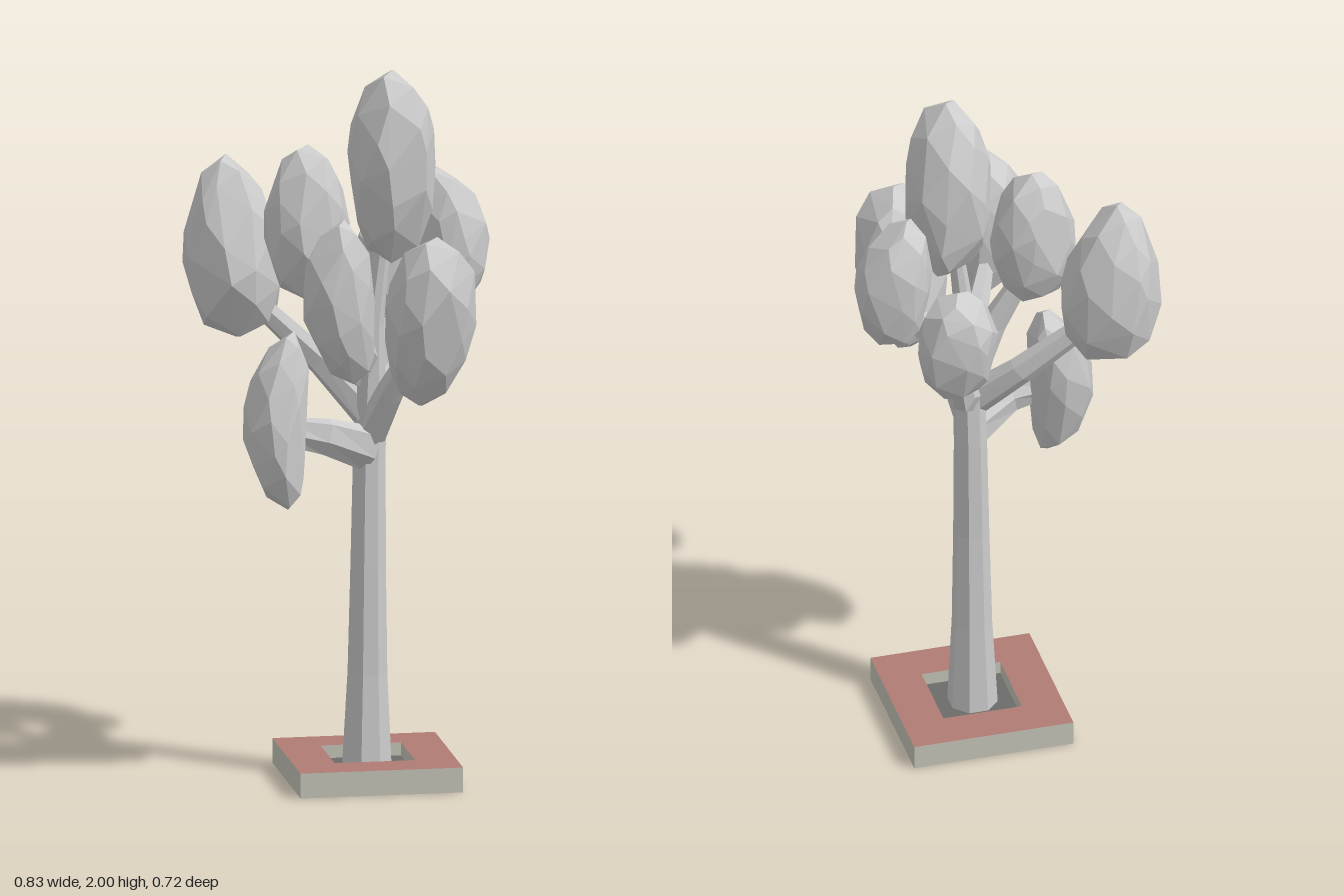
import * as THREE from 'three';
import { ConvexGeometry } from 'three/addons/geometries/ConvexGeometry.js';

const grey = new THREE.MeshStandardMaterial({ color: 0xcccccc, flatShading: true });
const stone = new THREE.MeshStandardMaterial({ color: 0xc6c5b8 });
const brick = new THREE.MeshStandardMaterial({ color: 0xb07c74 });
const earth = new THREE.MeshStandardMaterial({ color: 0x6c6c6a });

// Small seeded random generator
function seeded(seed) {
  let s = seed * 7919 + 17;
  return () => (s = (s * 16807) % 2147483647) / 2147483647;
}

// Faceted tapering limb through stations [x, y, z, radius];
// tall deepens the cross-section in the limb's own vertical plane
function limbGeometry(stations, sides, tall = 1) {
  const centres = stations.map(([x, y, z]) => new THREE.Vector3(x, y, z));
  const last = centres.length - 1;
  const up = new THREE.Vector3(0, 1, 0);
  const heading = centres[last].clone().sub(centres[0]).setY(0).normalize();
  const rings = centres.map((c, i) => {
    const dir = centres[Math.min(i + 1, last)].clone().sub(centres[Math.max(i - 1, 0)]).normalize();
    const q = new THREE.Quaternion().setFromUnitVectors(up, dir);
    return Array.from({ length: sides }, (_, j) => {
      const a = ((j + 0.5) / sides) * Math.PI * 2;
      const v = new THREE.Vector3(Math.cos(a), 0, Math.sin(a));
      v.addScaledVector(heading, v.dot(heading) * (tall - 1));
      return v.multiplyScalar(stations[i][3]).applyQuaternion(q).add(c);
    });
  });
  const pts = [];
  for (let j = 0; j < sides; j++) {
    const k = (j + 1) % sides;
    for (let i = 0; i < last; i++) {
      const [a, b, c, d] = [rings[i][j], rings[i + 1][j], rings[i + 1][k], rings[i][k]];
      pts.push(a, b, d, b, c, d);
    }
    pts.push(centres[0], rings[0][j], rings[0][k]);
    pts.push(centres[last], rings[last][k], rings[last][j]);
  }
  const geo = new THREE.BufferGeometry().setFromPoints(pts);
  geo.computeVertexNormals();
  return geo;
}

// Irregular faceted leaf mass filling the box min..max.
// lean shifts the top sideways, bend pushes the middle sideways (both in x, z);
// a positive taper makes the lower half the wider one.
function leafGeometry(min, max, [leanX, leanZ], [bendX, bendZ], taper, seed) {
  const rnd = seeded(seed);
  const n = 42;
  const points = [];
  for (let i = 0; i < n; i++) {
    const y = 1 - (2 * i) / (n - 1);
    const r = Math.max(0, 1 - y * y) ** 0.46 * (1 - taper * y);
    const a = i * 2.39996 + (rnd() - 0.5) * 0.6;
    const s = 0.95 + rnd() * 0.08;
    points.push(new THREE.Vector3(
      Math.cos(a) * r * s + leanX * y + bendX * (1 - y * y),
      y,
      Math.sin(a) * r * s + leanZ * y + bendZ * (1 - y * y)));
  }
  const box = new THREE.Box3().setFromPoints(points);
  const size = box.getSize(new THREE.Vector3());
  const lo = new THREE.Vector3(...min);
  const span = new THREE.Vector3(...max).sub(lo);
  points.forEach((p) => p.sub(box.min).divide(size).multiply(span).add(lo));
  return new ConvexGeometry(points);
}

function square(Type, cx, cz, half) {
  const s = new Type();
  s.moveTo(cx - half, -cz - half);
  s.lineTo(cx + half, -cz - half);
  s.lineTo(cx + half, -cz + half);
  s.lineTo(cx - half, -cz + half);
  s.closePath();
  return s;
}

export function createModel() {
  const tree = new THREE.Group();
  tree.name = 'tree';
  const add = (name, geometry, material = grey) => {
    const mesh = new THREE.Mesh(geometry, material);
    mesh.name = name;
    tree.add(mesh);
    return mesh;
  };

  // Planter: stone slab, brick-topped frame with a square hole, soil inside
  const cx = 0.068, cz = -0.036;
  add('planterSlab', new THREE.BoxGeometry(0.453, 0.03, 0.453), stone).position.set(cx, 0.015, cz);
  const frame = square(THREE.Shape, cx, cz, 0.2265);
  frame.holes.push(square(THREE.Path, cx, cz, 0.112));
  const frameGeo = new THREE.ExtrudeGeometry(frame, { depth: 0.04, bevelEnabled: false });
  frameGeo.rotateX(-Math.PI / 2);
  add('planterFrame', frameGeo, [brick, stone]).position.y = 0.03;
  add('soil', new THREE.BoxGeometry(0.223, 0.006, 0.223), earth).position.set(cx, 0.031, cz);

  // Trunk with its leader running up into the crown
  add('trunk', limbGeometry([
    [0.064, 0.03, -0.028, 0.07], [0.066, 0.3, -0.03, 0.056], [0.068, 0.6, -0.03, 0.05],
    [0.072, 0.9, -0.036, 0.046], [0.076, 1.08, -0.034, 0.044], [0.08, 1.28, -0.02, 0.03],
    [0.11, 1.55, -0.01, 0.02],
  ], 8));

  // Deep, blade-like branches, each rising from the trunk into a leaf mass
  const branches = {
    lowBranch: [[0.07, 0.93, -0.02, 0.045], [-0.06, 0.98, 0.035, 0.036], [-0.18, 1.0, 0.03, 0.028]],
    rightBackBranch: [[0.07, 1.03, -0.03, 0.036], [-0.05, 1.16, -0.11, 0.028], [-0.24, 1.34, -0.18, 0.02]],
    rightInnerBranch: [[0.07, 1.12, -0.03, 0.032], [0.01, 1.28, -0.04, 0.027], [-0.08, 1.45, -0.06, 0.018]],
    rightFrontBranch: [[0.07, 1.18, -0.03, 0.034], [0.01, 1.27, 0.1, 0.03], [-0.05, 1.34, 0.22, 0.02]],
    leftFrontBranch: [[0.075, 0.98, -0.02, 0.036], [0.11, 1.11, 0.08, 0.03], [0.17, 1.27, 0.18, 0.022]],
    leftBranch: [[0.08, 1.18, -0.03, 0.034], [0.17, 1.29, -0.075, 0.03], [0.3, 1.42, -0.1, 0.02]],
    leftBackBranch: [[0.075, 1.06, -0.035, 0.038], [0.12, 1.12, -0.13, 0.035], [0.165, 1.3, -0.24, 0.022]],
  };
  for (const [name, stations] of Object.entries(branches)) add(name, limbGeometry(stations, 6, 1.45));

  // Leaf masses: min corner, max corner, lean, bend, taper
  const leaves = {
    crownLeaves: [[0.005, 1.45, -0.14], [0.255, 2, 0.13], [0, 0.08], [0, 0], 0],
    rightBackLeaves: [[-0.415, 1.22, -0.34], [-0.14, 1.73, -0.055], [-0.08, -0.08], [0, 0], 0.22],
    rightInnerLeaves: [[-0.215, 1.35, -0.165], [0.02, 1.78, 0.04], [0.05, -0.12], [0, 0], 0.05],
    lowLeaves: [[-0.285, 0.78, -0.09], [-0.105, 1.27, 0.115], [0.15, -0.25], [-0.5, 0], 0],
    rightFrontLeaves: [[-0.16, 1.17, 0.15], [0.04, 1.64, 0.355], [-0.15, 0.1], [-0.3, 0.1], 0],
    leftFrontLeaves: [[0.075, 1.09, 0.08], [0.32, 1.58, 0.36], [0.12, 0.25], [0, 0], -0.08],
    leftLeaves: [[0.2, 1.3, -0.2], [0.415, 1.7, 0.01], [-0.15, 0], [0.2, 0], 0.05],
    leftBackLeaves: [[0.06, 1.2, -0.36], [0.285, 1.56, -0.17], [0, -0.15], [0, -0.1], 0],
  };
  Object.entries(leaves).forEach(([name, args], i) => add(name, leafGeometry(...args, i + 1)));

  return tree;
}
